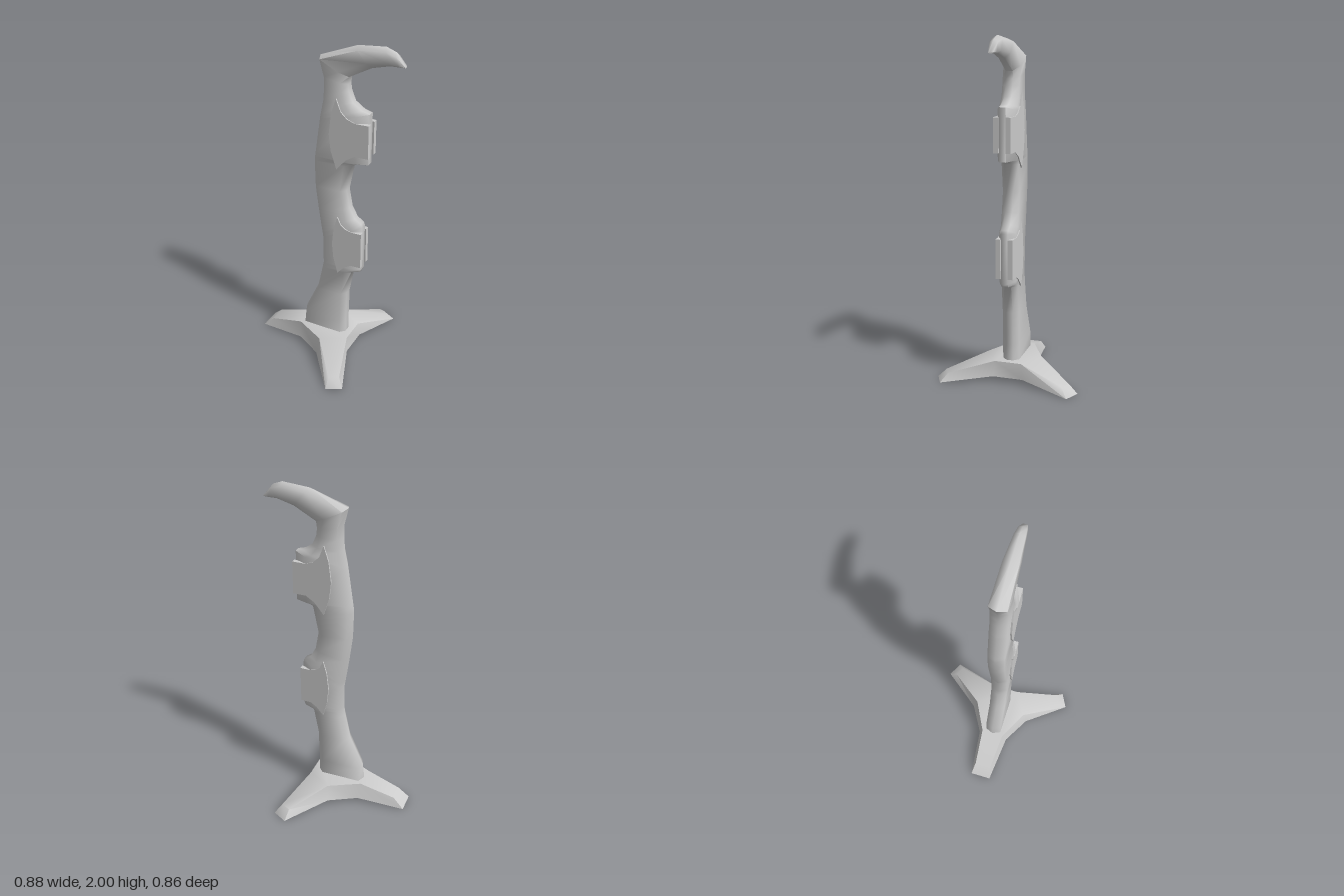
import * as THREE from 'three';
import { toCreasedNormals } from 'three/addons/utils/BufferGeometryUtils.js';

const material = new THREE.MeshStandardMaterial({ color: 0xcccccc });

function addMesh(parent, name, geometry) {
  const mesh = new THREE.Mesh(geometry, material);
  mesh.name = name;
  parent.add(mesh);
  return mesh;
}

function fromFaces(points, faces, crease) {
  const geometry = new THREE.BufferGeometry();
  geometry.setAttribute('position', new THREE.Float32BufferAttribute(points.flat(), 3));
  geometry.setIndex(faces);
  return toCreasedNormals(geometry.toNonIndexed(), crease);
}

// Handle sections: back x, back y, front x, front y, half width, front bevel
const sections = [
  [-0.165, 0.12, 0.13, 0.12, 0.05, 0.03],
  [-0.155, 0.22, 0.13, 0.22, 0.05, 0.03],
  [-0.07, 0.41, 0.135, 0.42, 0.05, 0.03],
  [-0.035, 0.58, 0.165, 0.585, 0.05, 0.04],
  [-0.03, 0.62, 0.22, 0.602, 0.05, 0.06],
  [-0.03, 0.64, 0.226, 0.62, 0.05, 0.06],
  [-0.03, 0.79, 0.226, 0.91, 0.05, 0.06],
  [-0.035, 0.82, 0.22, 0.93, 0.05, 0.06],
  [-0.045, 0.88, 0.18, 0.955, 0.05, 0.05],
  [-0.06, 0.98, 0.145, 1.02, 0.05, 0.03],
  [-0.08, 1.13, 0.125, 1.13, 0.05, 0.03],
  [-0.085, 1.29, 0.157, 1.295, 0.05, 0.04],
  [-0.083, 1.32, 0.2, 1.315, 0.05, 0.06],
  [-0.08, 1.34, 0.255, 1.32, 0.05, 0.07],
  [-0.05, 1.55, 0.255, 1.62, 0.05, 0.07],
  [-0.047, 1.57, 0.21, 1.632, 0.05, 0.06],
  [-0.03, 1.66, 0.155, 1.67, 0.05, 0.04],
  [-0.025, 1.73, 0.13, 1.73, 0.05, 0.03],
  [-0.025, 1.8, 0.125, 1.77, 0.05, 0.035],
  [-0.05, 1.9, 0.13, 1.81, 0.05, 0.06],
  [0.17, 1.985, 0.26, 1.88, 0.042, 0.035],
  [0.33, 2.0, 0.36, 1.905, 0.03, 0.015],
  [0.385, 1.98, 0.41, 1.905, 0.023, 0.01],
  [0.44, 1.915, 0.44, 1.905, 0.013, 0.003],
];

function handleGeometry() {
  const points = [], faces = [], n = 7;
  for (const [bx, by, fx, fy, w, bevel] of sections) {
    const length = Math.hypot(fx - bx, fy - by);
    const back = Math.min(0.022 / length, 0.25), front = 1 - bevel / length;
    const ring = [[0, 0], [back, w], [front, w], [1, w * 0.4], [1, -w * 0.4], [front, -w], [back, -w]];
    for (const [t, z] of ring) points.push([bx + (fx - bx) * t, by + (fy - by) * t, z]);
  }
  const last = (sections.length - 1) * n;
  for (let s = 0; s < last; s += n) {
    for (let i = 0; i < n; i++) {
      const j = (i + 1) % n;
      faces.push(s + i, s + j, s + n + j, s + i, s + n + j, s + n + i);
    }
  }
  for (let i = 1; i < n - 1; i++) faces.push(0, i + 1, i, last, last + i, last + i + 1);
  return fromFaces(points, faces, 1.25);
}

// Three splayed feet around a six-sided hub
function baseGeometry() {
  const mirrorRing = (half) => [...half, ...half.map(([x, y, z]) => [x, y, -z]).reverse()];
  const bottom = mirrorRing([
    [0.175, 0.03, 0.09], [0.288, 0, 0.382], [0.2, 0, 0.428],
    [0.01, 0.03, 0.19], [-0.155, 0.025, 0.095], [-0.445, 0, 0.064],
  ]);
  const top = mirrorRing([
    [0.168, 0.125, 0.08], [0.25, 0.05, 0.345], [0.192, 0.05, 0.375],
    [0.02, 0.125, 0.165], [-0.165, 0.125, 0.07], [-0.38, 0.062, 0.052],
  ]);
  const n = 12, faces = [];
  const polygon = (ids) => {
    for (let i = 1; i < ids.length - 1; i++) {
      faces.push(ids[0], ids[i], ids[i + 1]);
      faces.push(n + ids[0], n + ids[i + 1], n + ids[i]);
    }
  };
  polygon([0, 3, 4, 7, 8, 11]);
  for (const k of [0, 4, 8]) polygon([k, k + 1, k + 2, k + 3]);
  for (let i = 0; i < n; i++) {
    const j = (i + 1) % n;
    faces.push(i, n + j, j, i, n + i, n + j);
  }
  return fromFaces([...bottom, ...top], faces, 1.0);
}

// Flared side plate: back and front x, centre y, tip heights, half height of the tab
function plateGeometry(x0, x1, y, up, down, tab) {
  const w = x1 - x0, at = (t) => x0 + w * t;
  const shape = new THREE.Shape([
    [at(0.2), y - down], [at(0.44), y - tab - (down - tab) * 0.32], [at(0.66), y - tab],
    [x1, y - tab], [x1, y + tab], [at(0.66), y + tab],
    [at(0.46), y + tab + (up - tab) * 0.14], [at(0.3), y + tab + (up - tab) * 0.42],
    [at(0.18), y + up], [at(0.06), y + up * 0.6], [x0, y + 0.01], [at(0.05), y - down * 0.45],
  ].map(([px, py]) => new THREE.Vector2(px, py)));
  const geometry = new THREE.ExtrudeGeometry(shape, { depth: 0.028, bevelEnabled: false });
  // Lean the plate inward toward the front
  const p = geometry.attributes.position;
  for (let i = 0; i < p.count; i++) p.setZ(i, p.getZ(i) + 0.032 - 0.01 * (p.getX(i) - x0) / w);
  geometry.computeVertexNormals();
  return geometry;
}

export function createModel() {
  const model = new THREE.Group();
  model.name = 'hookedStand';
  addMesh(model, 'tripodBase', baseGeometry());
  addMesh(model, 'handle', handleGeometry());

  const plates = {
    upper: [0.03, 0.265, 1.468, 0.222, 0.198, 0.098],
    lower: [0.052, 0.234, 0.765, 0.195, 0.188, 0.115],
  };
  for (const [level, size] of Object.entries(plates)) {
    const geometry = plateGeometry(...size);
    addMesh(model, level + 'FrontPlate', geometry);
    const y = size[2];
    // Mirrored copy on the far side, turned around the x axis and flipped back upright
    const far = geometry.clone().scale(1, 1, -1).toNonIndexed();
    const p = far.attributes.position;
    const a = new THREE.Vector3(), b = new THREE.Vector3();
    for (let i = 0; i < p.count; i += 3) {
      a.fromBufferAttribute(p, i + 1);
      b.fromBufferAttribute(p, i + 2);
      p.setXYZ(i + 1, b.x, b.y, b.z);
      p.setXYZ(i + 2, a.x, a.y, a.z);
    }
    far.computeVertexNormals();
    addMesh(model, level + 'BackPlate', far).userData.height = y;
  }
  return model;
}
